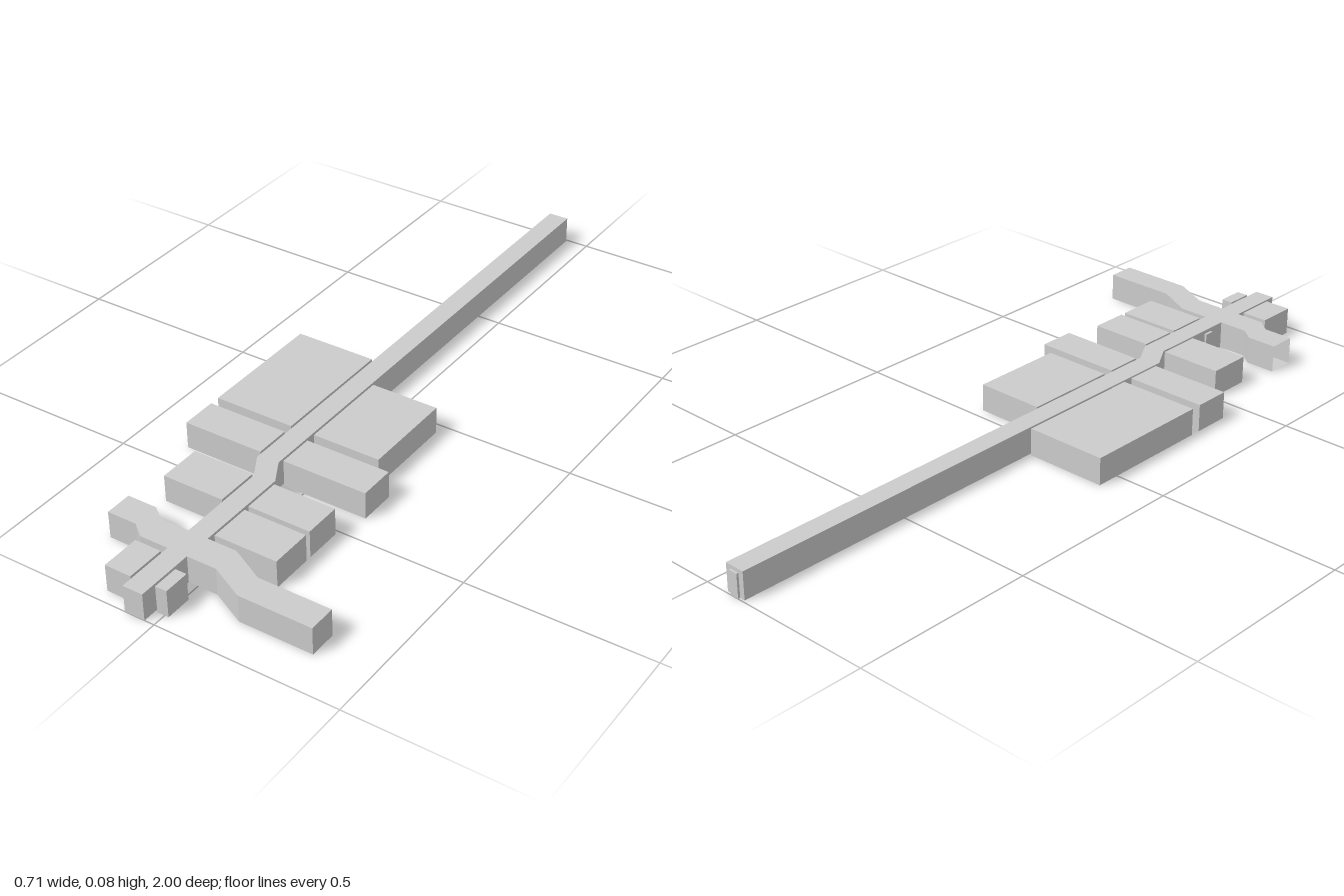
import * as THREE from 'three';

const H = 0.075;       // block height
const DOOR_H = 0.065;  // door height

export function createModel() {
  const group = new THREE.Group();
  const material = new THREE.MeshStandardMaterial({ color: 0xcccccc, flatShading: true, side: THREE.DoubleSide });

  // Box resting on the ground, given by its plan limits
  function block(name, x0, x1, z0, z1, h = H) {
    const mesh = new THREE.Mesh(new THREE.BoxGeometry(x1 - x0, h, z1 - z0), material);
    mesh.position.set((x0 + x1) / 2, h / 2, (z0 + z1) / 2);
    mesh.name = name;
    group.add(mesh);
  }

  // Corridor: long hall with a jog and a bent cross passage, as one [x, z] outline
  const outline = [
    [-0.121, -0.994], [-0.064, -0.994], [-0.064, 0.435], [-0.027, 0.5],
    [-0.027, 0.763], [0.055, 0.763], [0.152, 0.813], [0.353, 0.813],
    [0.353, 0.888], [0.152, 0.888], [0.055, 0.84], [-0.027, 0.84],
    [-0.027, 1], [-0.083, 1], [-0.083, 0.84], [-0.163, 0.84],
    [-0.2, 0.81], [-0.283, 0.81], [-0.283, 0.735], [-0.2, 0.735],
    [-0.163, 0.763], [-0.083, 0.763], [-0.083, 0.51], [-0.121, 0.445],
  ];
  const shape = new THREE.Shape(outline.map(([x, z]) => new THREE.Vector2(x, -z)));
  const hall = new THREE.ExtrudeGeometry(shape, { depth: H, bevelEnabled: false });
  hall.rotateX(-Math.PI / 2);

  // The short arm of the cross passage is open at its end
  const p = hall.attributes.position, kept = [];
  for (let i = 0; i < p.count; i += 3) {
    if ([0, 1, 2].every(k => p.getX(i + k) < -0.282)) continue;
    kept.push(i, i + 1, i + 2);
  }
  hall.setIndex(kept);
  const corridor = new THREE.Mesh(hall, material);
  corridor.name = 'corridor';
  group.add(corridor);

  // Rooms on both sides, a thin gap away from the corridor
  const rooms = [
    ['largeRoomRight', -0.354, -0.127, -0.065, 0.295],
    ['largeRoomLeft', -0.058, 0.132, 0.032, 0.295],
    ['narrowRoomRight', -0.354, -0.127, 0.323, 0.424],
    ['narrowRoomLeft', -0.058, 0.18, 0.323, 0.424],
    ['middleRoomRight', -0.262, -0.089, 0.508, 0.628],
    ['middleRoomLeft', -0.021, 0.154, 0.512, 0.615],
    ['lowerRoomLeft', -0.021, 0.154, 0.63, 0.745],
    ['smallRoomRight', -0.163, -0.089, 0.857, 0.965],
    ['smallRoomLeft', -0.021, 0.011, 0.89, 0.962],
  ];
  for (const room of rooms) block(...room);

  // Doors bridging the gaps on each side of the corridor
  const doors = [[-0.0925, 0.24], [-0.0925, 0.37], [-0.055, 0.583], [-0.055, 0.702], [-0.055, 0.926]];
  for (const [x, z] of doors) {
    block('doorRight', x - 0.0345, x - 0.028, z - 0.013, z + 0.013, DOOR_H);
    block('doorLeft', x + 0.028, x + 0.0345, z - 0.013, z + 0.013, DOOR_H);
  }
  block('endDoor', -0.106, -0.08, -1, -0.994, DOOR_H);

  return group;
}
